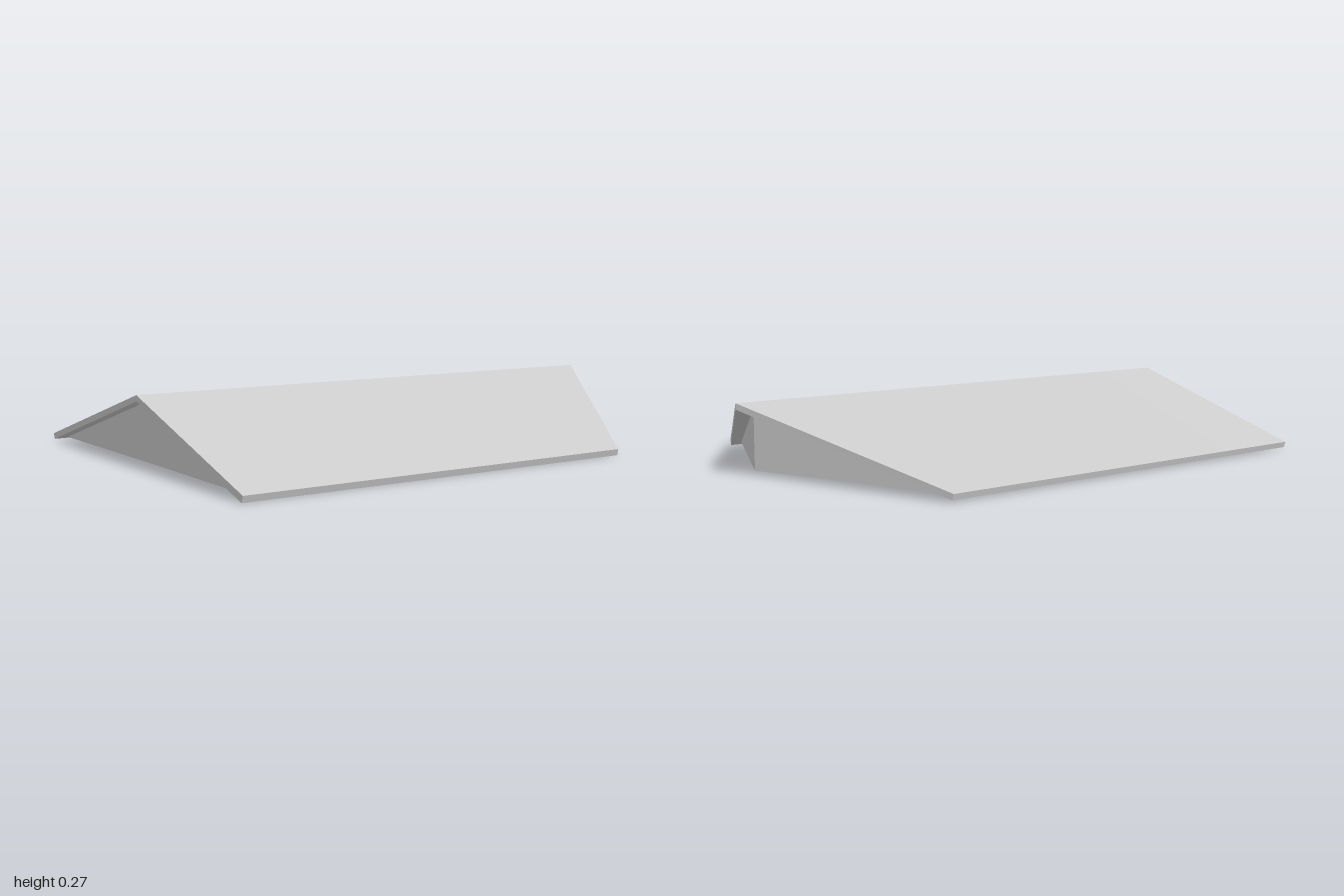
import * as THREE from 'three';
import { toCreasedNormals } from 'three/addons/utils/BufferGeometryUtils.js';

const V = (x, y, z) => new THREE.Vector3(x, y, z);

// Turns polygons (corner lists) into a mesh, fanning each one
function polyMesh(name, polygons, side = THREE.FrontSide) {
  const points = [];
  for (const p of polygons) {
    for (let i = 1; i < p.length - 1; i++) points.push(p[0], p[i], p[i + 1]);
  }
  const geometry = new THREE.BufferGeometry().setFromPoints(points);
  geometry.computeVertexNormals();
  const mesh = new THREE.Mesh(
    toCreasedNormals(geometry, 0.3),
    new THREE.MeshStandardMaterial({ color: 0xcccccc, side })
  );
  mesh.name = name;
  return mesh;
}

// Roof slabs: a bent strip lofted between the two skewed gable ends
function makeRoof() {
  // front eave, ridge, back eave on top, then the same underneath
  const right = [
    V(-0.866, 0.025, 0.714), V(-0.93, 0.266, 0), V(-1, 0.03, -0.716),
    V(-0.998, 0.008, -0.71), V(-0.93, 0.243, 0), V(-0.867, 0, 0.706),
  ];
  const left = [
    V(0.714, 0.025, 0.714), V(1, 0.266, 0.095), V(0.638, 0.03, -0.716),
    V(0.64, 0.008, -0.71), V(1, 0.243, 0.095), V(0.717, 0, 0.706),
  ];
  const steps = 8;
  const section = (t) => right.map((p, i) => p.clone().lerp(left[i], t));
  const polygons = [];
  for (let k = 0; k < steps; k++) {
    const a = section(k / steps), b = section((k + 1) / steps);
    for (let i = 0; i < 6; i++) {
      const j = (i + 1) % 6;
      polygons.push([a[i], b[i], b[j], a[j]]);
    }
  }
  for (const cap of [[0, 5, 4, 1], [1, 4, 3, 2]]) {
    polygons.push(cap.map((i) => left[i]));
    polygons.push(cap.map((i) => right[i]).reverse());
  }
  return polyMesh('roof', polygons);
}

// Gable wall: two thin panels meeting at a vertical edge below the ridge
function makeGable(name, front, middle, back) {
  const base = 0.015, apex = 0.243;
  const panel = ([x, z], endTop) => [
    V(x, base, z), V(middle[0], base, middle[1]),
    V(middle[0], apex, middle[1]), V(x, endTop, z),
  ];
  return polyMesh(name, [panel(front, 0.016), panel(back, 0.022)], THREE.DoubleSide);
}

// Small three-sided recess wall under the front slope
function makeRecess() {
  const x0 = -0.305, x1 = 0.167, zBack = 0.535, zFront = 0.667, base = 0.015, top = 0.064;
  const cheek = (x) => [V(x, base, zBack), V(x, top, zBack), V(x, base, zFront)];
  const backPanel = [V(x0, base, zBack), V(x1, base, zBack), V(x1, top, zBack), V(x0, top, zBack)];
  return polyMesh('recessWall', [backPanel, cheek(x0), cheek(x1)], THREE.DoubleSide);
}

export function createModel() {
  const model = new THREE.Group();
  model.name = 'gableRoof';
  model.add(
    makeRoof(),
    makeGable('leftGableWall', [0.69, 0.667], [0.93, 0.095], [0.6, -0.667]),
    makeGable('rightGableWall', [-0.83, 0.667], [-0.885, 0], [-0.95, -0.667]),
    makeRecess()
  );
  return model;
}
